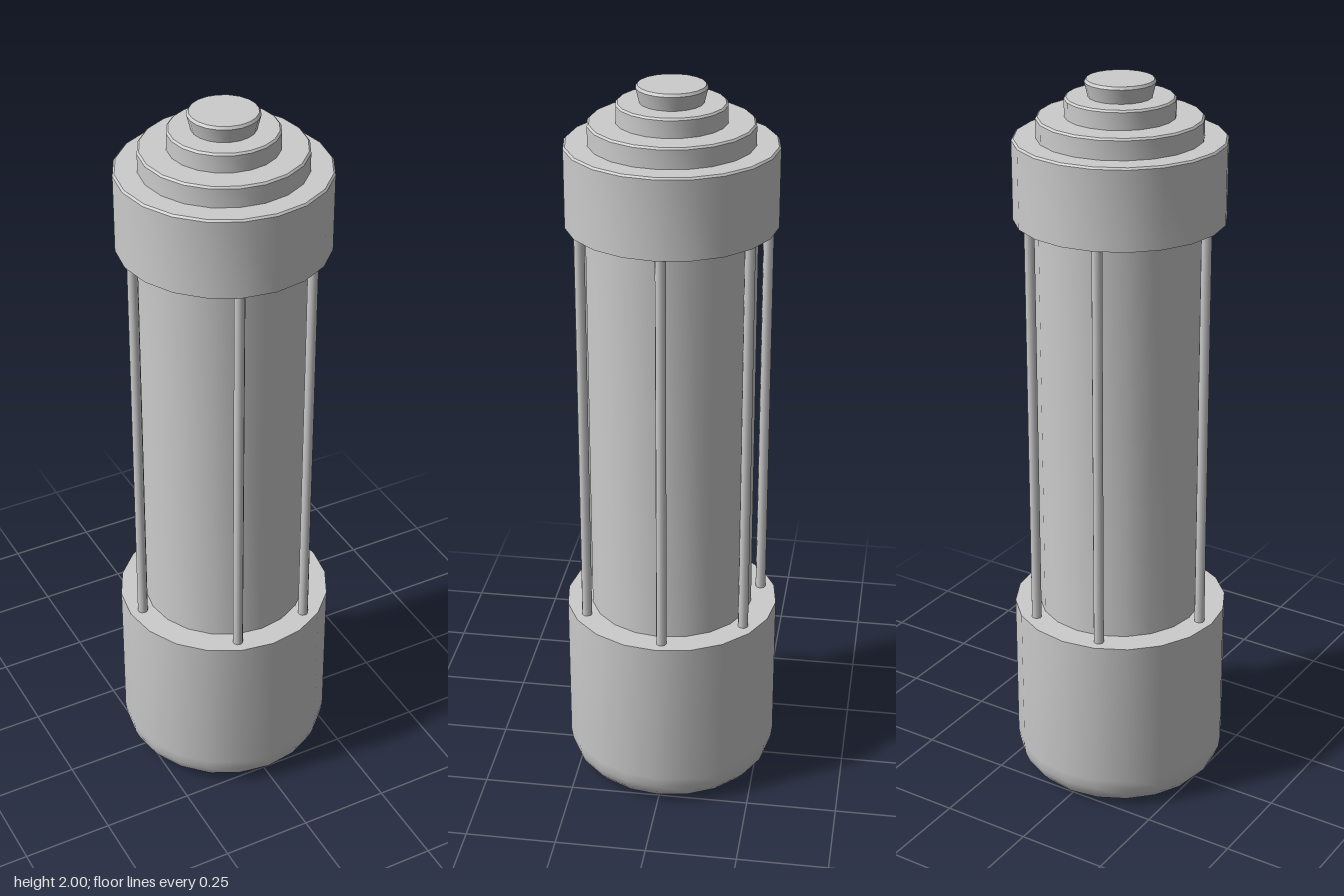
import * as THREE from 'three';
import { toCreasedNormals } from 'three/addons/utils/BufferGeometryUtils.js';

const SIDES = 20;

export function createModel() {
  const group = new THREE.Group();
  const material = new THREE.MeshStandardMaterial({ color: 0xcccccc });

  // Turned part from [radius, height] points, listed bottom to top
  function turned(name, profile) {
    const points = profile.map(([r, y]) => new THREE.Vector2(r, y));
    const geometry = toCreasedNormals(new THREE.LatheGeometry(points, SIDES), 0.6);
    const mesh = new THREE.Mesh(geometry, material);
    mesh.name = name;
    group.add(mesh);
  }

  // Disc with a small bevel on its upper edge
  function disc(name, radius, bottom, top, bevel = 0.005) {
    turned(name, [[0, bottom], [radius, bottom], [radius, top - bevel], [radius - bevel, top], [0, top]]);
  }

  // Base cup with a rounded lower edge
  turned('base', [
    [0, 0], [0.235, 0], [0.262, 0.012], [0.281, 0.034], [0.291, 0.06],
    [0.295, 0.09], [0.295, 0.515], [0, 0.515],
  ]);

  // Inner tube
  turned('core', [[0, 0.5], [0.225, 0.5], [0.225, 1.65], [0, 1.65]]);

  // Stepped cap
  disc('cap', 0.278, 1.635, 1.85);
  disc('capStep', 0.216, 1.84, 1.905);
  disc('capUpperStep', 0.143, 1.895, 1.955);

  // Button that flares upward
  turned('button', [[0, 1.945], [0.08, 1.945], [0.092, 1.993], [0.087, 2], [0, 2]]);

  // Thin guard rods around the tube, at uneven angles in degrees
  const rodGeometry = new THREE.CylinderGeometry(0.014, 0.014, 1.15, 10);
  [-2, 58, 109, 180, 251, 302].forEach((degrees, i) => {
    const angle = THREE.MathUtils.degToRad(degrees);
    const rod = new THREE.Mesh(rodGeometry, material);
    rod.name = `guardRod${i + 1}`;
    rod.position.set(0.257 * Math.cos(angle), 1.075, 0.257 * Math.sin(angle));
    group.add(rod);
  });

  return group;
}
